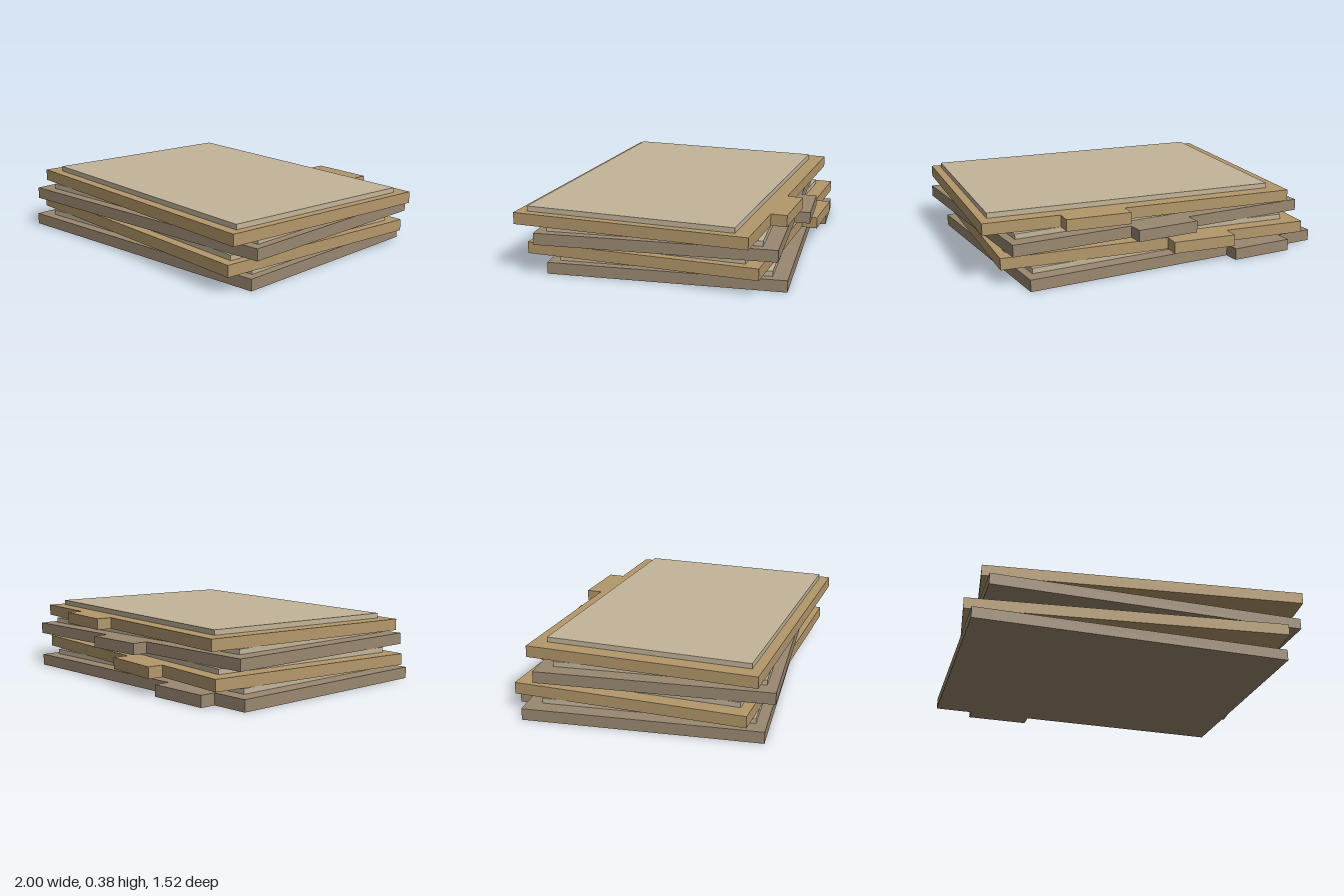
import * as THREE from 'three';

const W = 1.8, D = 1.31, COVER = 0.065, STEP = 0.0938;
const TAB_W = 0.365, TAB_D = 0.09;

// Folder outline with an index tab on the back edge (shape y = back)
function folderGeometry(tabX) {
  const w = W / 2, d = D / 2, t = TAB_W / 2;
  const shape = new THREE.Shape([
    [-w, -d], [w, -d], [w, d],
    [tabX + t, d], [tabX + t, d + TAB_D], [tabX - t, d + TAB_D], [tabX - t, d],
    [-w, d],
  ].map(([x, y]) => new THREE.Vector2(x, y)));
  const geo = new THREE.ExtrudeGeometry(shape, { depth: COVER, bevelEnabled: false });
  return geo.rotateX(-Math.PI / 2);
}

export function createModel() {
  const manila = new THREE.MeshStandardMaterial({ color: 0xb3986b });
  manila.name = 'manila';
  const greyBrown = new THREE.MeshStandardMaterial({ color: 0x9a8871 });
  greyBrown.name = 'greyBrown';
  const paper = new THREE.MeshStandardMaterial({ color: 0xc3b59a });
  paper.name = 'paper';

  const group = new THREE.Group();
  group.name = 'folderStack';

  // Bottom to top: centre x, centre z, turn
  const layers = [
    [-0.06, -0.01, 0.06],
    [-0.02, 0.01, -0.06],
    [0.018, 0.028, 0.06],
    [0.06, 0.049, -0.06],
  ];
  layers.forEach(([x, z, turn], i) => {
    const folder = new THREE.Group();
    folder.name = `folder${i + 1}`;
    folder.position.set(x, i * STEP, z);
    folder.rotation.y = turn;

    // Cover with staggered tab
    const cover = new THREE.Mesh(folderGeometry(-0.497 + i * 0.2625), i % 2 ? manila : greyBrown);
    cover.name = 'cover';

    // Paper block resting on the cover
    const sheetH = STEP - COVER;
    const sheets = new THREE.Mesh(new THREE.BoxGeometry(1.66, sheetH, 1.167), paper);
    sheets.name = 'sheets';
    sheets.position.set(0.023, COVER + sheetH / 2, 0.013);

    folder.add(cover, sheets);
    group.add(folder);
  });
  return group;
}
